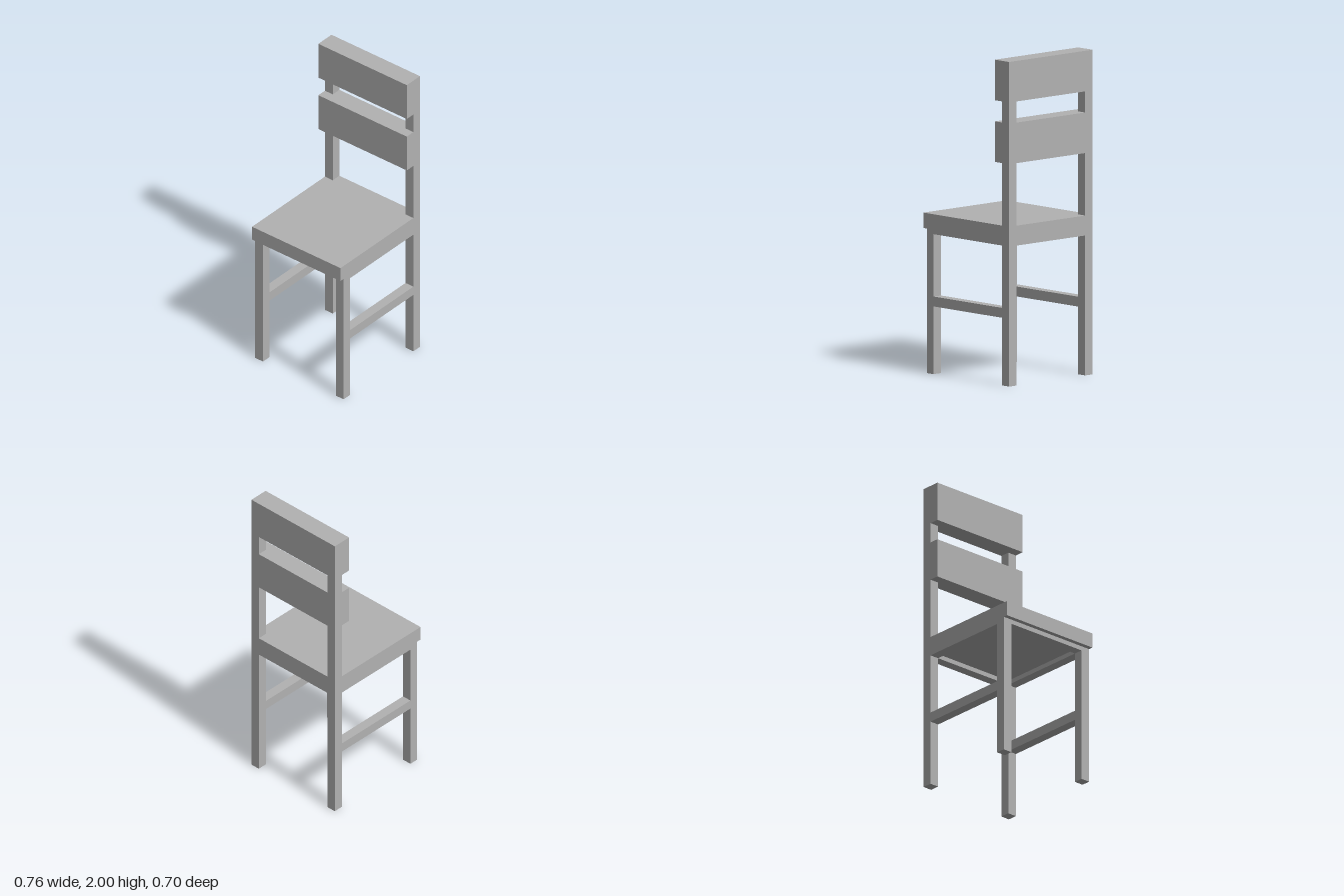
import * as THREE from 'three';

export function createModel() {
  const chair = new THREE.Group();
  chair.name = 'chair';
  const grey = new THREE.MeshStandardMaterial({ color: 0xb2b2b2 });
  grey.name = 'plain grey';

  // Box given by its extents along each axis
  const box = (name, [x0, x1], [y0, y1], [z0, z1]) => {
    const mesh = new THREE.Mesh(new THREE.BoxGeometry(x1 - x0, y1 - y0, z1 - z0), grey);
    mesh.name = name;
    mesh.position.set((x0 + x1) / 2, (y0 + y1) / 2, (z0 + z1) / 2);
    chair.add(mesh);
  };

  const half = 0.349, inner = 0.287;
  const frontLegX = [-0.35, -0.29], postX = [0.317, 0.38];
  const full = [-half, half], between = [-inner, inner];
  const seatBottom = 0.89, seatTop = 0.985, apronBottom = 0.862;

  // Seat board, overhanging the front legs
  box('seat', [-0.38, postX[0]], [seatBottom, seatTop], full);

  // Legs, side aprons and stretchers, mirrored
  for (const s of [-1, 1]) {
    const z = s > 0 ? [inner, half] : [-half, -inner];
    const side = s > 0 ? 'front' : 'rear';
    box(`${side}SideShortLeg`, frontLegX, [0, seatBottom], z);
    box(`${side}SideBackPost`, postX, [0, 2], z);
    box(`${side}SideApron`, [frontLegX[1], postX[0]], [apronBottom, seatBottom], z);
    box(`${side}SideStretcher`, [frontLegX[1], postX[0]], [0.417, 0.478], z);
  }

  // Aprons under the seat's leading edge and between the back posts
  box('leadingApron', frontLegX, [apronBottom, seatBottom], between);
  box('backApron', postX, [apronBottom, seatTop], between);

  // Thick back slats: a full-width face plus the part set between the posts
  for (const [name, y] of [['lowerSlat', [1.37, 1.62]], ['upperSlat', [1.75, 2]]]) {
    box(name + 'Face', [0.254, postX[0]], y, full);
    box(name + 'Core', postX, y, between);
  }
  return chair;
}
